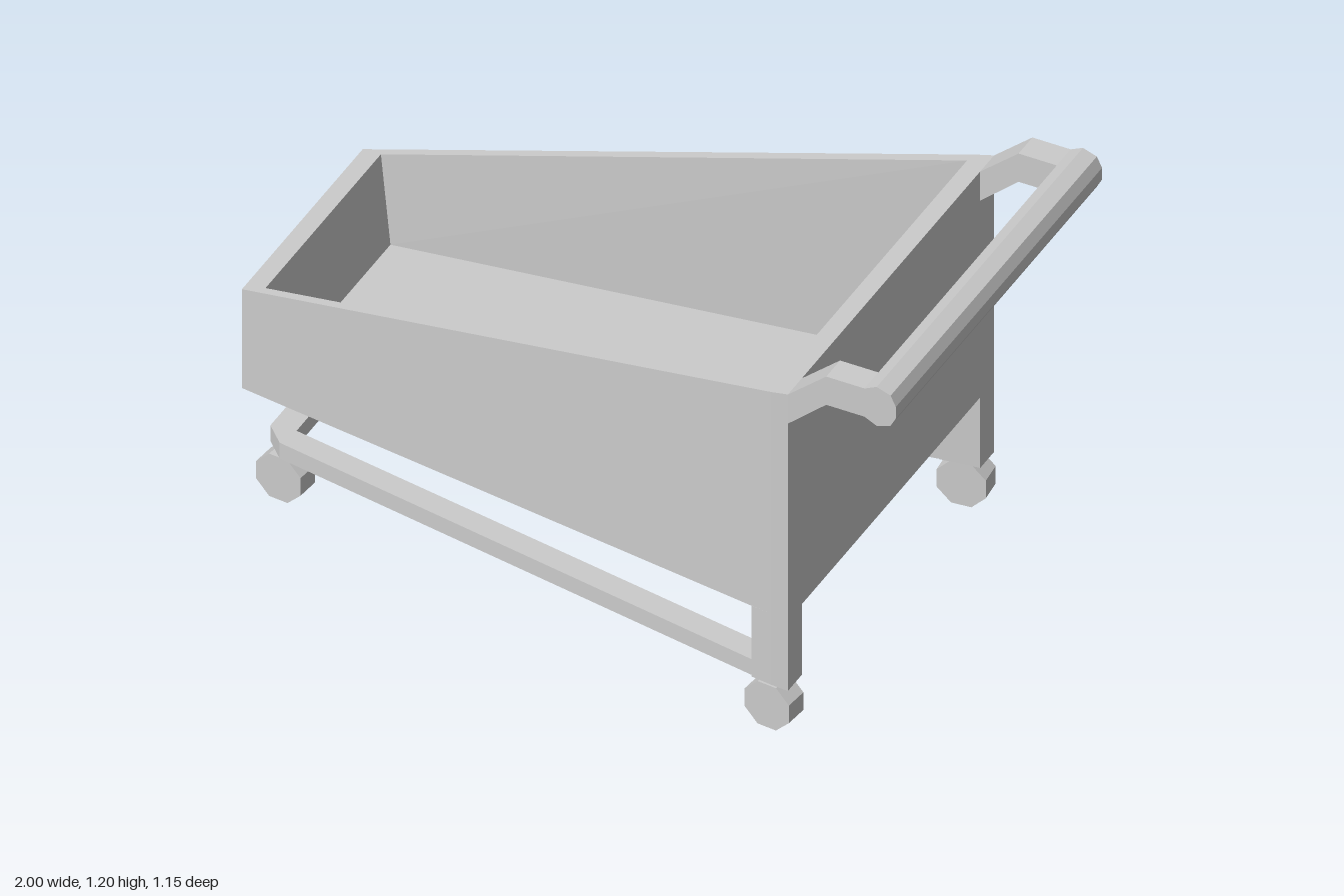
import * as THREE from 'three';

const material = new THREE.MeshStandardMaterial({ color: 0xcccccc, flatShading: true });

// Skin through rings of [x, y, z] corners, closed with a cap at each end.
function loft(rings) {
  const pos = [];
  const tri = (...pts) => pts.forEach((p) => pos.push(...p));
  const n = rings[0].length;
  for (let r = 0; r < rings.length - 1; r++) {
    for (let i = 0; i < n; i++) {
      const j = (i + 1) % n;
      const [low, high] = [rings[r], rings[r + 1]];
      tri(low[i], low[j], high[j]);
      tri(low[i], high[j], high[i]);
    }
  }
  const first = rings[0], last = rings[rings.length - 1];
  for (let i = 1; i < n - 1; i++) {
    tri(first[0], first[i + 1], first[i]);
    tri(last[0], last[i], last[i + 1]);
  }
  const geometry = new THREE.BufferGeometry();
  geometry.setAttribute('position', new THREE.Float32BufferAttribute(pos, 3));
  geometry.computeVertexNormals();
  return geometry;
}

// Side-profile shape pushed out along z from z0 to z1.
function slab(points, z0, z1) {
  const shape = new THREE.Shape(points.map(([x, y]) => new THREE.Vector2(x, y)));
  const geometry = new THREE.ExtrudeGeometry(shape, { depth: z1 - z0, bevelEnabled: false });
  return geometry.translate(0, 0, z0);
}

export function createModel() {
  const cart = new THREE.Group();
  cart.name = 'shoppingCart';
  const add = (name, geometry) => {
    const mesh = new THREE.Mesh(geometry, material);
    mesh.name = name;
    cart.add(mesh);
    return mesh;
  };

  // Basket: hollow tapered tub with a sloping rim
  const rimY = (x) => 0.68 + (x + 1) * 0.2396;
  const outline = (half, height) =>
    [...half.map(([x, z]) => [x, height(x), z])].concat(
      [...half].reverse().map(([x, z]) => [x, height(x), -z]));
  // Start on the -z front corner so the ring runs around the tub
  const ring = (half, height) => {
    const pts = outline(half, height);
    return [pts[pts.length - 1], ...pts.slice(0, -1)];
  };
  const outer = [[-1, 0.335], [0.64, 0.568], [0.69, 0.572]];
  const innerTop = [[-0.94, 0.32], [0.63, 0.538], [0.63, 0.5]];
  const innerFloor = [[-0.91, 0.315], [0.63, 0.53], [0.63, 0.49]];
  add('basket', loft([
    ring(outer, () => 0.365),
    ring(outer, rimY),
    ring(innerTop, rimY),
    ring(innerFloor, () => 0.42),
  ]));

  // Lower frame: U-shaped rail with chamfered front corners
  const side = [[0.6, 0.485], [0.6, 0.558], [-0.915, 0.29], [-0.97, 0.235]];
  const inner = [-0.9, 0.225];
  const u = [inner, ...side, ...[...side].reverse().map(([x, z]) => [x, -z]), [inner[0], -inner[1]]];
  const rail = slab(u, 0, 0.05);
  rail.rotateX(Math.PI / 2).translate(0, 0.19, 0);
  add('lowerFrame', rail);

  // Handle bar: faceted tube across the back
  add('handleBar', slab([
    [0.91, 1.09], [0.945, 1.073], [0.985, 1.087], [1, 1.115],
    [1, 1.152], [0.985, 1.183], [0.945, 1.197], [0.91, 1.18],
  ], -0.572, 0.572));

  const arm = [[0.69, 0.992], [0.8, 1.09], [0.915, 1.09], [0.915, 1.18], [0.8, 1.18], [0.69, 1.085]];
  for (const s of [1, -1]) {
    const label = s > 0 ? 'front' : 'back';

    // Handle arms
    add(label + 'HandleArm', s > 0 ? slab(arm, 0.495, 0.572) : slab(arm, -0.572, -0.495));

    // Rear legs under the basket
    const foot = [[0.58, 0.48], [0.58, 0.56], [0.64, 0.568], [0.69, 0.572], [0.69, 0.495]];
    const plan = foot.map(([x, z]) => [x, z * s]);
    if (s < 0) plan.reverse();
    add(label + 'Leg', loft([0.14, 0.366].map((y) => plan.map(([x, z]) => [x, y, z]))));

    // Octagonal wheels, turned to follow the tapered sides
    for (const [x, z, end] of [[-0.92, 0.247, 'Nose'], [0.63, 0.533, 'Handle']]) {
      const wheel = new THREE.CylinderGeometry(0.073, 0.073, 0.068, 8);
      wheel.rotateY(Math.PI / 8).rotateX(Math.PI / 2);
      const mesh = add(label + end + 'Wheel', wheel);
      mesh.position.set(x, 0.0675, s * z);
      mesh.rotation.y = -s * 0.1;
    }
  }
  return cart;
}
